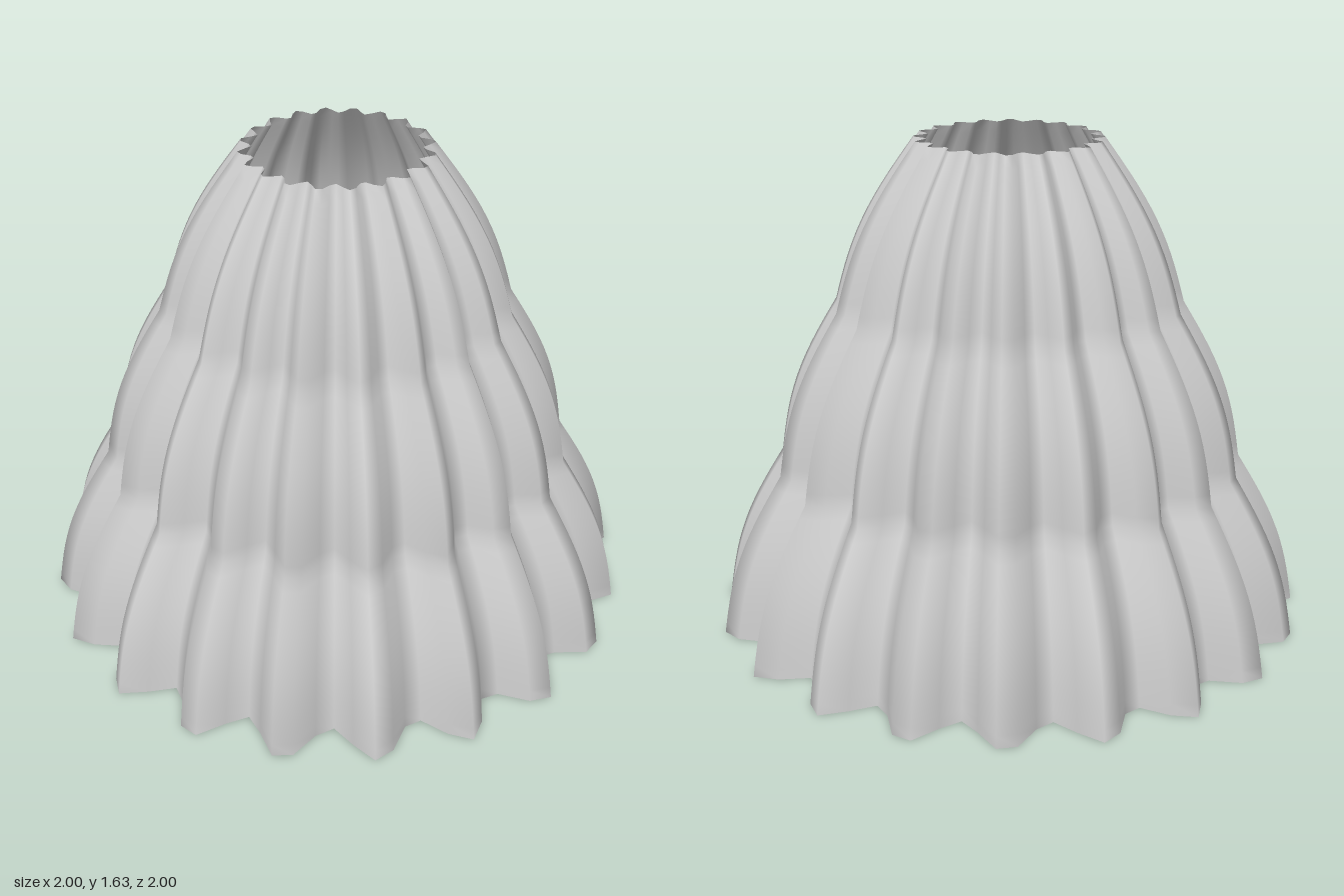
import * as THREE from 'three';
import { mergeVertices } from 'three/addons/utils/BufferGeometryUtils.js';

const SIDES = 96;       // facets around
const FOLDS = 20;       // pleats around
const FOLD_DEPTH = 0.08; // pleat depth as a share of the radius
const TIER_HEIGHT = 0.545;
const ROWS = 14;        // rows per tier
const BULGE = 0.037;
const RADII = [0.93, 0.733, 0.541, 0.289]; // mean radius at the tier joints

// Stacked tiers, each bulging outward between its joints
function tierProfile() {
  const points = [];
  for (let i = 0; i <= 3 * ROWS; i++) {
    const tier = Math.min(2, Math.floor(i / ROWS));
    const t = i / ROWS - tier;
    const r = THREE.MathUtils.lerp(RADII[tier], RADII[tier + 1], t) + BULGE * Math.sin(Math.PI * t);
    points.push(new THREE.Vector2(r, (tier + t) * TIER_HEIGHT));
  }
  return points;
}

// Lathe the profile, then push the surface in and out into pleats
function pleatedGeometry() {
  let geometry = new THREE.LatheGeometry(tierProfile(), SIDES);
  const pos = geometry.attributes.position;
  for (let i = 0; i < pos.count; i++) {
    const x = pos.getX(i), z = pos.getZ(i);
    const k = 1 + FOLD_DEPTH * Math.sin(FOLDS * Math.atan2(z, x));
    pos.setX(i, x * k);
    pos.setZ(i, z * k);
  }
  // Close the seam so the shading runs smoothly around
  geometry.deleteAttribute('uv');
  geometry.deleteAttribute('normal');
  geometry = mergeVertices(geometry, 1e-4);
  geometry.computeVertexNormals();
  return geometry;
}

export function createModel() {
  const group = new THREE.Group();
  group.name = 'tieredSkirt';
  const material = new THREE.MeshStandardMaterial({ color: 0xcccccc, side: THREE.DoubleSide });
  const skirt = new THREE.Mesh(pleatedGeometry(), material);
  skirt.name = 'pleatedSkirt';
  group.add(skirt);
  return group;
}
